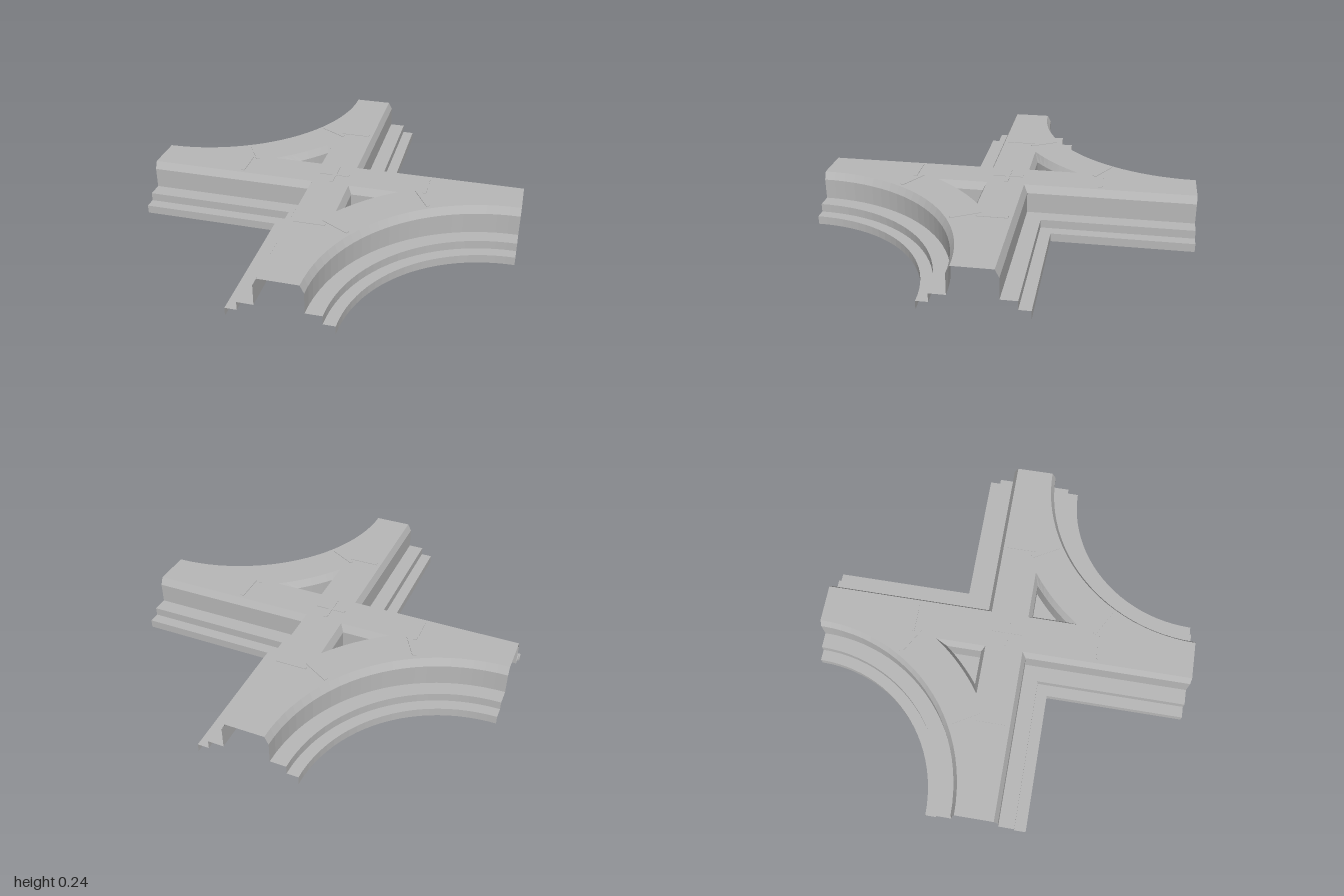
import * as THREE from 'three';

const TOP = 0.24, SHELF = 0.09;
// Side profile of the bank: [offset from road centre line, height]
const BANK = [[0.1, TOP], [0.12, 0.2], [0.12, SHELF], [0.203, SHELF], [0.203, 0.045], [0.263, 0.045], [0.263, 0]];

// Points (x, z) on a circle around the back right corner of the tile
const arc = (r, from, to, n) => Array.from({ length: n + 1 }, (_, i) => {
  const t = from + (to - from) * i / n;
  return [-1 + r * Math.cos(t), -1 + r * Math.sin(t)];
});

// Paths as a function of the offset d from the road centre line
const curvePath = d => arc(1 - d, 0, Math.PI / 2, 24);
const cornerPath = d => [[1, -d], [d, -d], [d, -1]];
const pocketPath = d => {
  const t = Math.asin((1 - d) / (1 + d));
  return [[-d, -d], ...arc(1 + d, t, Math.PI / 2 - t, 8), [-d, -d]];
};

// Sweep a profile along an offset path, flat faced
function sweep(path, profile) {
  const pos = [];
  for (let k = 0; k < profile.length - 1; k++) {
    const [d0, y0] = profile[k], [d1, y1] = profile[k + 1];
    const up = path(d0), low = path(d1);
    for (let i = 0; i < up.length - 1; i++) {
      const a = [up[i][0], y0, up[i][1]], b = [low[i][0], y1, low[i][1]];
      const c = [low[i + 1][0], y1, low[i + 1][1]], d = [up[i + 1][0], y0, up[i + 1][1]];
      pos.push(...a, ...b, ...c, ...a, ...c, ...d);
    }
  }
  const g = new THREE.BufferGeometry();
  g.setAttribute('position', new THREE.Float32BufferAttribute(pos, 3));
  g.computeVertexNormals();
  return g;
}

const toVec = pts => pts.map(([x, z]) => new THREE.Vector2(x, -z));
const turned = pts => pts.map(([x, z]) => [-x, -z]);

// Horizontal plate from an outline with holes
function plate(outline, y, holes = []) {
  const shape = new THREE.Shape(toVec(outline));
  holes.forEach(h => shape.holes.push(new THREE.Path(toVec(h))));
  return new THREE.ShapeGeometry(shape).rotateX(-Math.PI / 2).translate(0, y, 0);
}

export function createModel() {
  const model = new THREE.Group();
  const grey = new THREE.MeshStandardMaterial({ color: 0xb8b8b8, flatShading: true, side: THREE.DoubleSide });
  grey.name = 'grey';
  const add = (parent, name, geometry) => {
    const mesh = new THREE.Mesh(geometry, grey);
    mesh.name = name;
    parent.add(mesh);
    return mesh;
  };

  // Road surface: a cross with two rounded corners and two triangular openings
  const half = [...cornerPath(0.1), ...curvePath(0.1)];
  const hole = pocketPath(0.1).slice(0, -1);
  add(model, 'roadSurface', plate([...half, ...turned(half)], TOP, [hole, turned(hole)]));

  // Banks, pockets and marks, repeated half a turn round
  for (let s = 0; s < 2; s++) {
    const side = new THREE.Group();
    side.name = s ? 'frontHalf' : 'backHalf';
    side.rotation.y = s * Math.PI;
    model.add(side);

    add(side, 'curvedBank', sweep(curvePath, BANK));
    add(side, 'cornerBank', sweep(cornerPath, BANK));
    add(side, 'pocketWall', sweep(pocketPath, BANK.slice(0, 3)));
    add(side, 'pocketFloor', plate(pocketPath(0.12).slice(0, -1), SHELF));

    // Narrow ridges across the straight and curved lanes
    const ridge = (x, z, angle) => {
      const m = add(side, 'laneRidge', new THREE.BoxGeometry(0.16, 0.008, 0.02));
      m.position.set(x, TOP - 0.001, z);
      m.rotation.y = -angle;
    };
    ridge(-0.5, 0, Math.PI / 2);
    ridge(0, -0.5, 0);
    for (const t of [Math.PI / 6, Math.PI / 3]) ridge(-1 + Math.cos(t), -1 + Math.sin(t), t);
  }

  // Small cross in the middle
  add(model, 'centreCross', new THREE.BoxGeometry(0.16, 0.008, 0.02)).position.y = TOP - 0.001;
  for (const z of [-0.045, 0.045]) {
    add(model, 'centreCrossArm', new THREE.BoxGeometry(0.02, 0.008, 0.07)).position.set(0, TOP - 0.001, z);
  }
  return model;
}
